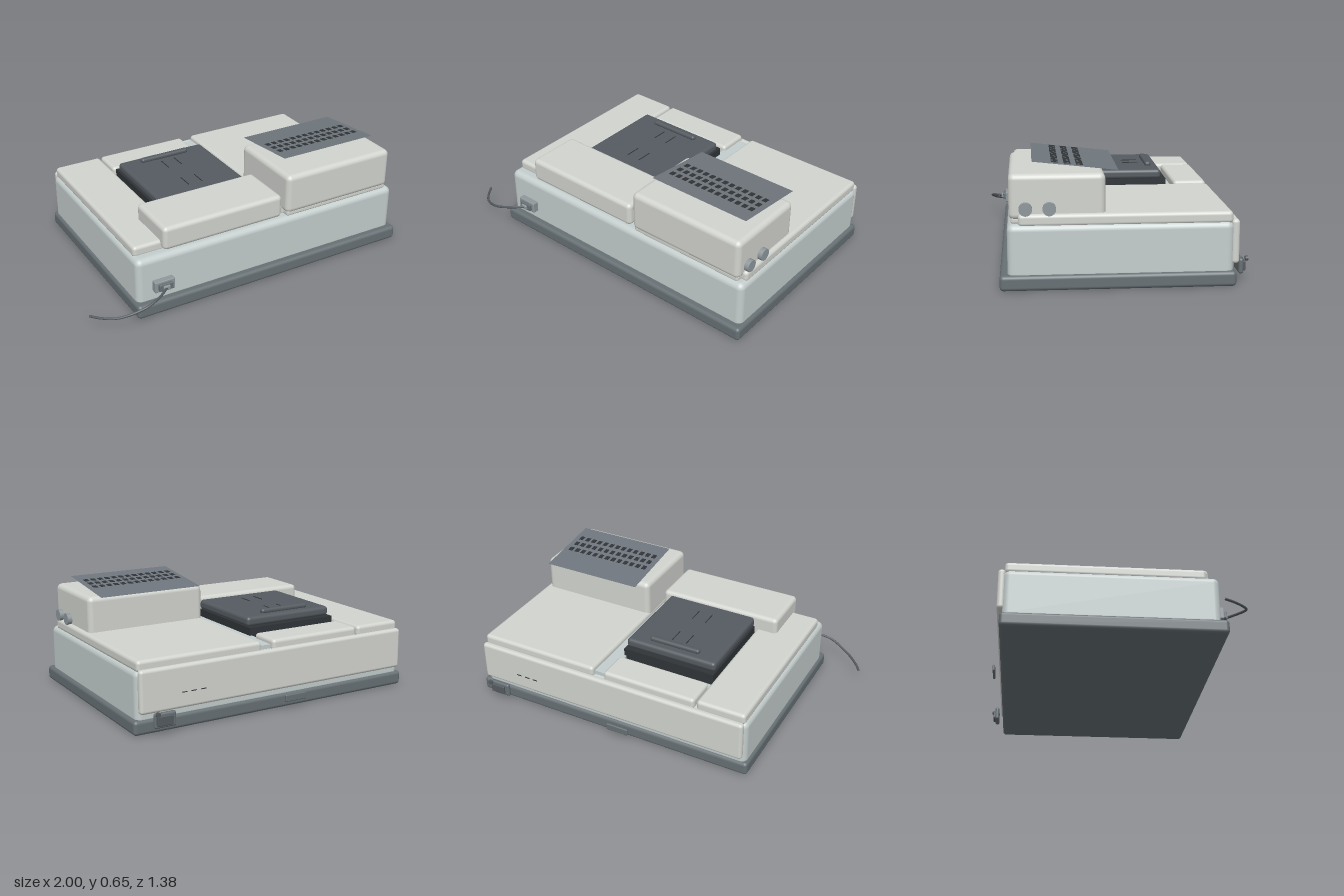
import * as THREE from 'three';
import { RoundedBoxGeometry } from 'three/addons/geometries/RoundedBoxGeometry.js';

const mat = (color, side = THREE.FrontSide) => new THREE.MeshStandardMaterial({ color, side });

export function createModel() {
  const group = new THREE.Group();
  const shell = mat(0xd2d4cf), body = mat(0xc4cecd), plinthMat = mat(0x677074);
  const dark = mat(0x555b61), black = mat(0x303438), metal = mat(0x8f989c);
  const grilleMat = mat(0x6f767d, THREE.DoubleSide);

  const add = (name, geometry, material, parent = group) => {
    const mesh = new THREE.Mesh(geometry, material);
    mesh.name = name;
    parent.add(mesh);
    return mesh;
  };

  // Block given by its extents; r > 0 rounds the edges
  const block = (name, x, y, z, r, material) => {
    const s = [x, y, z].map(([a, b]) => b - a);
    const geometry = r ? new RoundedBoxGeometry(...s, 4, r) : new THREE.BoxGeometry(...s);
    const mesh = add(name, geometry, material);
    mesh.position.set((x[0] + x[1]) / 2, (y[0] + y[1]) / 2, (z[0] + z[1]) / 2);
    return mesh;
  };

  // Case
  block('plinth', [-0.745, 1], [0, 0.08], [-0.615, 0.595], 0.02, plinthMat);
  block('body', [-0.73, 0.98], [0.05, 0.338], [-0.602, 0.555], 0.035, body);
  block('backPanel', [-0.715, 0.97], [0.112, 0.346], [-0.632, -0.59], 0.018, shell);

  // Deck plates
  block('leftDeck', [-0.715, -0.425], [0.325, 0.389], [-0.597, 0.49], 0.02, shell);
  block('rightDeck', [0.225, 0.968], [0.325, 0.389], [-0.597, 0.498], 0.02, shell);
  block('rearDeck', [-0.413, 0.155], [0.325, 0.389], [-0.6, -0.41], 0.02, shell);
  block('deckChannel', [0.14, 0.24], [0.325, 0.36], [-0.573, 0.25], 0, body);

  // Raised front housings
  block('frontLeftHousing', [-0.553, 0.2], [0.342, 0.48], [0.205, 0.533], 0.025, shell);
  block('frontRightSkirt', [0.235, 0.935], [0.335, 0.37], [0.07, 0.535], 0.012, shell);
  block('frontRightHousing', [0.226, 0.944], [0.355, 0.59], [0.055, 0.545], 0.03, shell);

  // Dark platen lid on its tray
  block('platenTray', [-0.415, 0.155], [0.33, 0.405], [-0.362, 0.22], 0, black);
  block('platenLid', [-0.41, 0.153], [0.403, 0.459], [-0.335, 0.24], 0.02, dark);
  block('lidHandle', [-0.288, 0.026], [0.453, 0.483], [-0.29, -0.255], 0.014, dark);
  for (const x of [-0.175, -0.087])
    for (const z of [-0.177, 0.072])
      block('lidMark', [x - 0.002, x + 0.002], [0.457, 0.462], [z - 0.047, z + 0.047], 0, black);

  // Tilted sheet grille, high at the front, with rows of slots
  const grille = new THREE.Group();
  grille.name = 'grille';
  grille.position.set(0.586, 0.622, 0.206);
  grille.rotation.x = -0.11;
  group.add(grille);
  const sheet = add('grilleSheet', new THREE.PlaneGeometry(0.618, 0.442), grilleMat, grille);
  sheet.rotation.x = -Math.PI / 2;
  const slotGeo = new THREE.BoxGeometry(0.026, 0.002, 0.035);
  for (let row = 0; row < 3; row++)
    for (let i = 0; i < 13; i++)
      add('grilleSlot', slotGeo, black, grille)
        .position.set((i - 6) * 0.0437, 0.003, -0.024 + row * 0.064);

  // Side knobs
  for (const z of [0.34, 0.46]) {
    const knob = add('sideKnob', new THREE.CylinderGeometry(0.034, 0.034, 0.035, 32), metal);
    knob.rotation.z = Math.PI / 2;
    knob.position.set(0.953, 0.415, z);
  }

  // Front socket, plug and cable
  block('socketPlate', [-0.64, -0.52], [0.135, 0.2], [0.55, 0.59], 0.005, metal);
  block('socketInset', [-0.622, -0.538], [0.147, 0.188], [0.585, 0.606], 0.005, plinthMat);
  block('plug', [-0.6, -0.56], [0.153, 0.18], [0.6, 0.617], 0.005, metal);
  const path = new THREE.CatmullRomCurve3([
    [-0.58, 0.166, 0.61], [-0.65, 0.158, 0.658], [-0.745, 0.135, 0.682],
    [-0.88, 0.09, 0.635], [-0.95, 0.076, 0.575], [-0.996, 0.07, 0.515],
  ].map((p) => new THREE.Vector3(...p)));
  add('cable', new THREE.TubeGeometry(path, 48, 0.007, 10), dark);

  // Rear fittings
  block('rearLatch', [-0.026, 0.11], [0.045, 0.085], [-0.665, -0.651], 0.006, plinthMat);
  block('rearConnector', [0.785, 0.91], [0.04, 0.122], [-0.668, -0.642], 0.012, plinthMat);
  block('connectorFace', [0.81, 0.9], [0.055, 0.108], [-0.68, -0.66], 0.005, dark);
  const stud = add('connectorStud', new THREE.CylinderGeometry(0.013, 0.013, 0.014, 20), dark);
  stud.rotation.x = Math.PI / 2;
  stud.position.set(0.898, 0.122, -0.684);
  for (const x of [0.608, 0.663, 0.718])
    block('rearMark', [x - 0.015, x + 0.015], [0.198, 0.202], [-0.635, -0.63], 0, black);

  return group;
}
